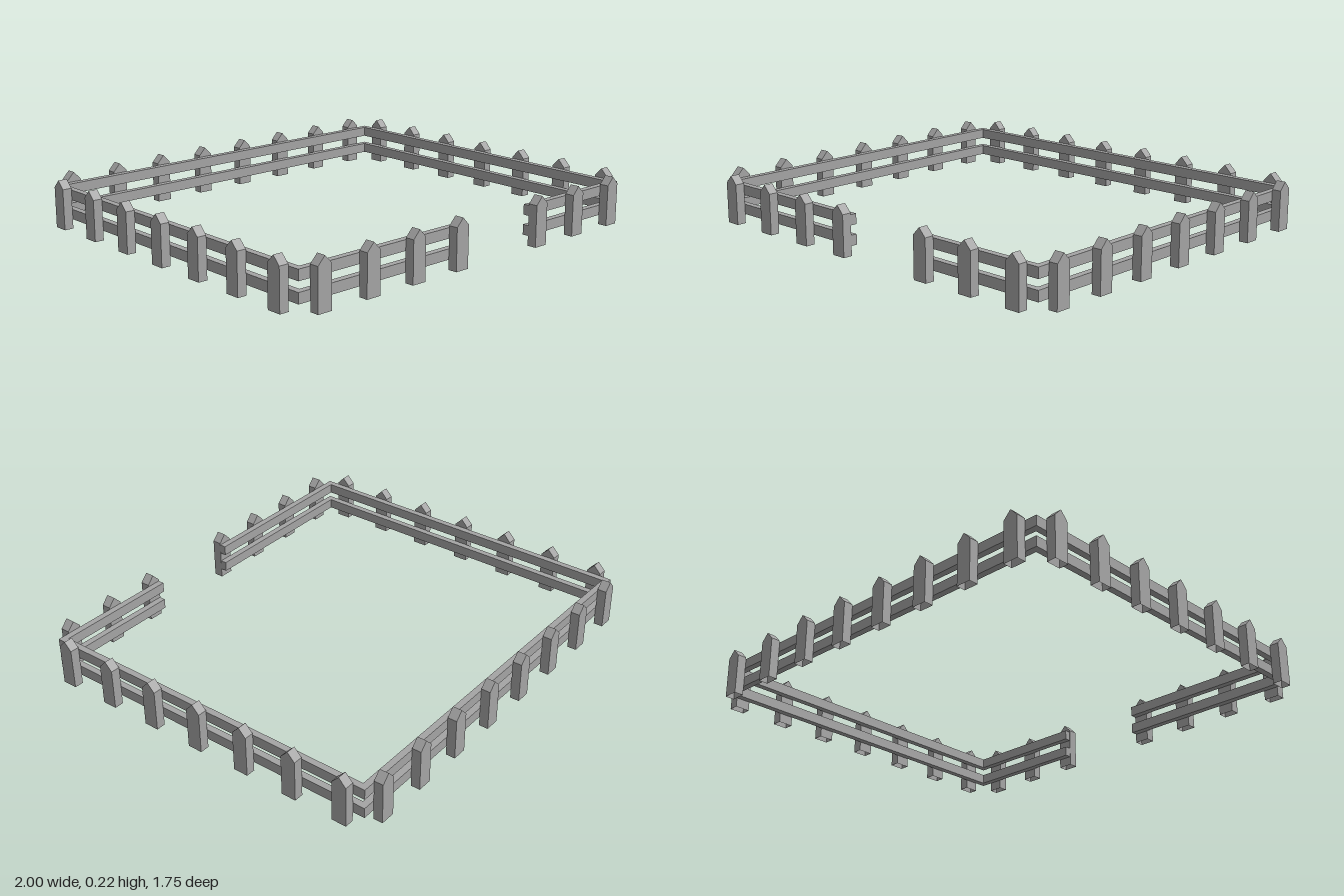
import * as THREE from 'three';

const wood = new THREE.MeshStandardMaterial({ color: 0xa4a4a4, side: THREE.DoubleSide });
wood.name = 'grey wood';

const RX = 0.957, RZ = 0.832;   // outer faces of the rails
const T = 0.03;                 // rail thickness
const GAP_L = -0.09, GAP_R = 0.338; // gate opening in the front run
const STEP = 0.2473;            // picket spacing

// Pointed board standing on y = 0, back at z = 0, open underneath
function picketGeometry() {
  const w = 0.0345, shoulder = 0.186, tip = 0.222;
  const shape = new THREE.Shape([
    [-w, 0], [w, 0], [w, shoulder], [0, tip], [-w, shoulder],
  ].map(([x, y]) => new THREE.Vector2(x, y)));
  const solid = new THREE.ExtrudeGeometry(shape, { depth: 0.043, bevelEnabled: false });
  const p = solid.attributes.position, kept = [];
  for (let i = 0; i < p.count; i += 3) {
    const corners = [i, i + 1, i + 2];
    if (corners.every((k) => p.getY(k) < 1e-6)) continue;
    for (const k of corners) kept.push(p.getX(k), p.getY(k), p.getZ(k));
  }
  const geo = new THREE.BufferGeometry();
  geo.setAttribute('position', new THREE.Float32BufferAttribute(kept, 3));
  geo.computeVertexNormals();
  return geo;
}

// One rail running round the yard, interrupted by the opening
function railGeometry(height) {
  const ix = RX - T, iz = RZ - T;
  const plan = new THREE.Shape([
    [GAP_R, RZ], [RX, RZ], [RX, -RZ], [-RX, -RZ], [-RX, RZ], [GAP_L, RZ],
    [GAP_L, iz], [-ix, iz], [-ix, -iz], [ix, -iz], [ix, iz], [GAP_R, iz],
  ].map(([x, z]) => new THREE.Vector2(x, -z)));
  return new THREE.ExtrudeGeometry(plan, { depth: height, bevelEnabled: false }).rotateX(-Math.PI / 2);
}

export function createModel() {
  const fence = new THREE.Group();
  fence.name = 'picketFence';

  // Rails
  const railGeo = railGeometry(0.046);
  [['lowerRail', 0.043], ['upperRail', 0.132]].forEach(([name, y]) => {
    const rail = new THREE.Mesh(railGeo, wood);
    rail.name = name;
    rail.position.y = y;
    fence.add(rail);
  });

  // Pickets, fixed to the outside of the rails
  const picketGeo = picketGeometry();
  const addPicket = (name, x, z, turn) => {
    const picket = new THREE.Mesh(picketGeo, wood);
    picket.name = name;
    picket.position.set(x, 0, z);
    picket.rotation.y = turn;
    fence.add(picket);
  };
  for (let i = 0; i < 8; i++) {
    const x = (i - 3.5) * STEP;
    addPicket('backPicket', x, -RZ, Math.PI);
    if (i !== 4) addPicket('frontPicket', x, RZ, 0); // opening
  }
  for (let i = -3; i <= 3; i++) {
    addPicket('leftPicket', RX, i * STEP, Math.PI / 2);
    addPicket('rightPicket', -RX, i * STEP, -Math.PI / 2);
  }
  return fence;
}
